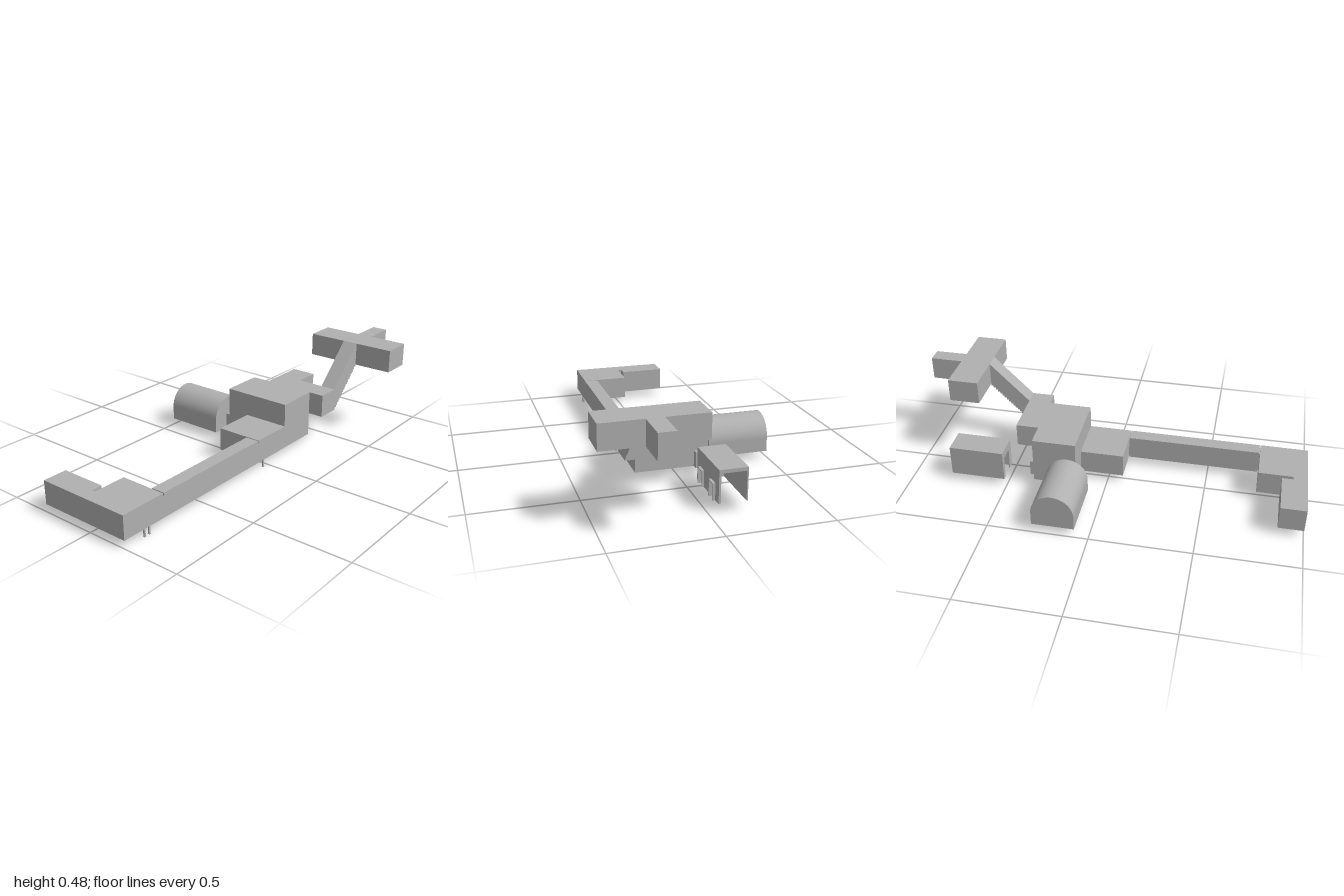
import * as THREE from 'three';

const grey = new THREE.MeshStandardMaterial({ color: 0xb0b0b0 });
grey.name = 'concrete grey';

function add(parent, name, geometry) {
  const mesh = new THREE.Mesh(geometry, grey);
  mesh.name = name;
  parent.add(mesh);
  return mesh;
}

// Box given by its minimum and maximum on each axis
function block(parent, name, [x0, x1], [y0, y1], [z0, z1]) {
  const mesh = add(parent, name, new THREE.BoxGeometry(x1 - x0, y1 - y0, z1 - z0));
  mesh.position.set((x0 + x1) / 2, (y0 + y1) / 2, (z0 + z1) / 2);
  return mesh;
}

// Shape in x and y, pulled from z0 to z1
function slab(parent, name, shape, z0, z1, segments = 12) {
  const geometry = new THREE.ExtrudeGeometry(shape, { depth: z1 - z0, bevelEnabled: false, curveSegments: segments });
  const mesh = add(parent, name, geometry);
  mesh.position.z = z0;
  return mesh;
}

const polygon = (points) => new THREE.Shape(points.map(([x, y]) => new THREE.Vector2(x, y)));
const rectangle = (x0, x1, y0, y1) => polygon([[x0, y0], [x1, y0], [x1, y1], [x0, y1]]);

const LOW = [0.04, 0.16];

function westWing(parent) {
  const wing = new THREE.Group();
  wing.name = 'westWing';
  block(wing, 'cornerRoom', [-1, -0.76], LOW, [-0.03, 0.21]);
  block(wing, 'backRoomLink', [-1, -0.93], LOW, [-0.05, -0.03]);
  block(wing, 'backRoom', [-1, -0.875], LOW, [-0.285, -0.05]);
  block(wing, 'corridor', [-0.755, -0.085], LOW, [0.14, 0.21]);
  for (const x of [-0.76, -0.085]) {
    block(wing, 'corridorDoorway', [x, x + 0.005], [0.04, 0.145], [0.15, 0.21]);
  }
  parent.add(wing);
}

function mainHall(parent) {
  const hall = new THREE.Group();
  hall.name = 'mainHall';
  block(hall, 'entryRoom', [-0.08, 0.14], LOW, [-0.03, 0.21]);
  block(hall, 'tallHall', [0.14, 0.36], [0.04, 0.278], [-0.15, 0.21]);
  block(hall, 'balconyRoom', [0.36, 0.475], [0.16, 0.278], [-0.03, 0.21]);
  block(hall, 'stairLanding', [0.36, 0.475], [0.16, 0.278], [0.21, 0.29]);
  block(hall, 'sideDoorway', [0.36, 0.39], [0.04, 0.12], [-0.11, -0.08]);
  block(hall, 'hangarPassage', [0.16, 0.188], [0.04, 0.12], [-0.185, -0.15]);
  parent.add(hall);
}

// Vaulted hall: straight walls with a half-round roof
function hangar(parent) {
  const shape = new THREE.Shape();
  shape.moveTo(0.07, 0.04);
  shape.lineTo(0.28, 0.04);
  shape.lineTo(0.28, 0.11);
  shape.absarc(0.175, 0.11, 0.105, 0, Math.PI, false);
  shape.lineTo(0.07, 0.04);
  slab(parent, 'vaultedHangar', shape, -0.49, -0.185, 24);
}

// Sloped stairwell with the steps showing underneath
function stairwell(parent) {
  const steps = 18, rise = 0.2 / steps, run = 0.205 / steps;
  const points = [[0.475, 0.278], [0.475, 0.16]];
  for (let i = 0; i < steps; i++) {
    points.push([0.475 + (i + 1) * run, 0.16 + i * rise]);
    points.push([0.475 + (i + 1) * run, 0.16 + (i + 1) * rise]);
  }
  points.push([0.68, 0.478]);
  slab(parent, 'stairwell', polygon(points), 0.21, 0.29);
}

function upperRooms(parent) {
  block(parent, 'upperCrossRoom', [0.68, 0.835], [0.36, 0.478], [0.01, 0.49]);
  block(parent, 'upperEndRoom', [0.835, 1], [0.36, 0.478], [0.21, 0.29]);
}

// Detached room, open at one end, with two door porches in front
function garage(parent) {
  const room = new THREE.Group();
  room.name = 'garage';
  const doors = [[0.55, 0.602], [0.694, 0.746]];
  const lip = 0.005;

  const outline = [[0.51, 0.04]];
  for (const [a, b] of doors) {
    outline.push([a + lip, 0.04], [a + lip, 0.12 - lip], [b - lip, 0.12 - lip], [b - lip, 0.04]);
  }
  outline.push([0.788, 0.04], [0.788, 0.197], [0.51, 0.197]);
  slab(room, 'frontWall', polygon(outline), -0.055, -0.045);

  block(room, 'backWall', [0.51, 0.788], [0.04, 0.197], [-0.18, -0.174]);
  block(room, 'roof', [0.51, 0.788], [0.18, 0.197], [-0.174, -0.055]);

  // End wall with a doorway
  block(room, 'endWallFront', [0.51, 0.516], [0.04, 0.18], [-0.08, -0.055]);
  block(room, 'endWallBack', [0.51, 0.516], [0.04, 0.18], [-0.174, -0.155]);
  block(room, 'endWallHeader', [0.51, 0.516], [0.155, 0.18], [-0.155, -0.08]);

  // Floor faces down only
  const floor = add(room, 'floor', new THREE.PlaneGeometry(0.278, 0.135));
  floor.rotation.x = Math.PI / 2;
  floor.position.set(0.649, 0.04, -0.1125);

  for (const [a, b] of doors) {
    const porch = polygon([
      [a, 0.04], [a + lip, 0.04], [a + lip, 0.12 - lip], [b - lip, 0.12 - lip],
      [b - lip, 0.04], [b, 0.04], [b, 0.12], [a, 0.12],
    ]);
    slab(room, 'doorPorch', porch, -0.045, -0.032);
  }
  parent.add(room);
}

// Thin posts reaching the ground
function posts(parent) {
  for (const x of [-0.877, -0.848, -0.033]) {
    slab(parent, 'post', rectangle(x - 0.004, x + 0.004, 0.003, 0.04), 0.201, 0.208);
    block(parent, 'postFoot', [x - 0.005, x + 0.005], [0, 0.003], [0.199, 0.21]);
  }
}

export function createModel() {
  const model = new THREE.Group();
  model.name = 'buildingComplex';
  for (const build of [westWing, mainHall, hangar, stairwell, upperRooms, garage, posts]) build(model);
  return model;
}
